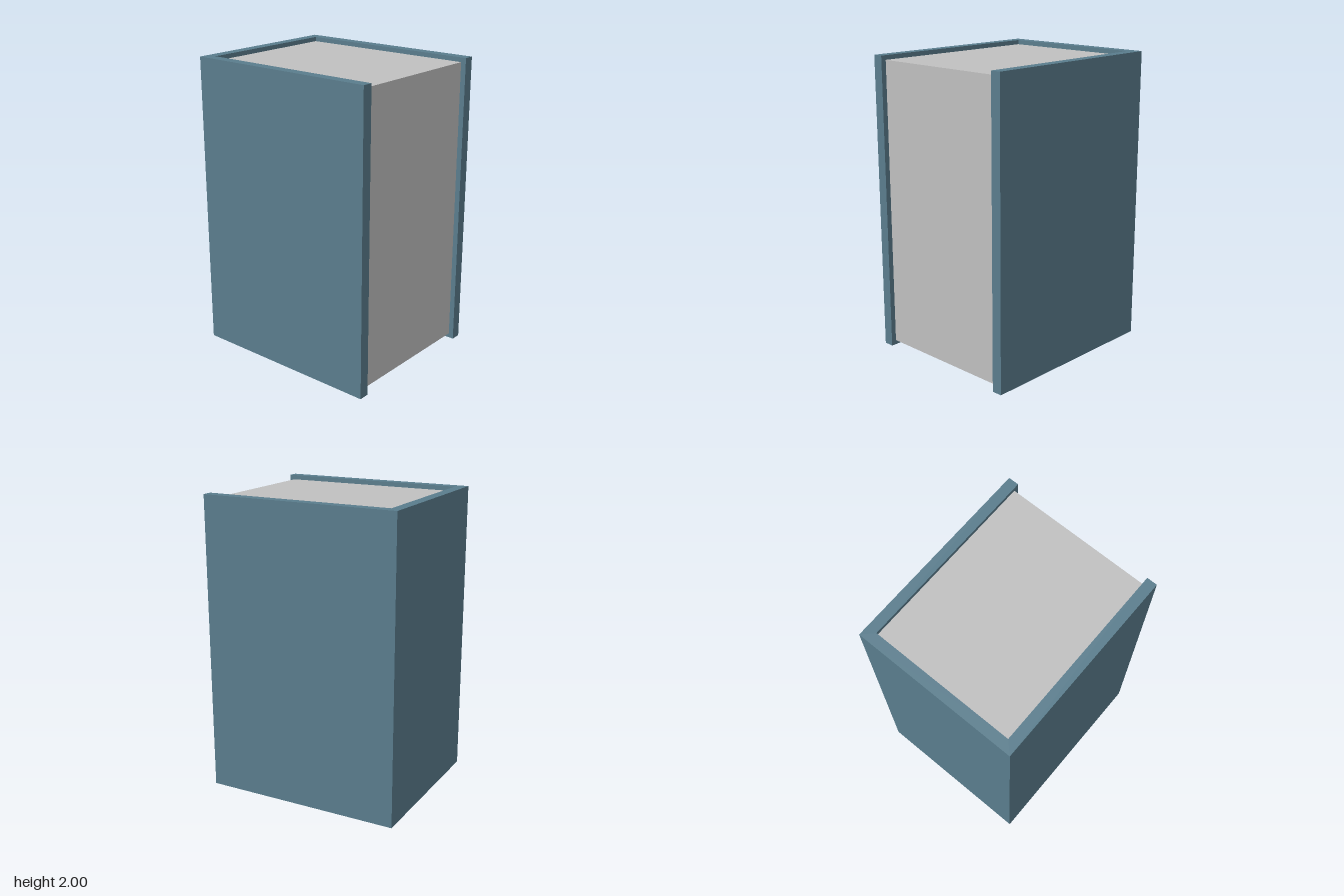
import * as THREE from 'three';

export function createModel() {
  const coverMat = new THREE.MeshStandardMaterial({ name: 'blue grey cover', color: 0x5a7d8d });
  const pageMat = new THREE.MeshStandardMaterial({ name: 'light grey pages', color: 0xc0c0c0 });

  const height = 2, halfW = 0.56, halfD = 0.67, wall = 0.07;
  const group = new THREE.Group();
  group.name = 'closedBook';

  // cover: U-shaped outline, open to the front, extruded upwards
  const inX = halfW - wall, inY = halfD - wall;
  const outline = new THREE.Shape([
    [-halfW, -halfD], [-inX, -halfD], [-inX, inY], [inX, inY],
    [inX, -halfD], [halfW, -halfD], [halfW, halfD], [-halfW, halfD],
  ].map(([x, y]) => new THREE.Vector2(x, y)));
  const coverGeo = new THREE.ExtrudeGeometry(outline, { depth: height, bevelEnabled: false });
  coverGeo.rotateX(-Math.PI / 2);
  const cover = new THREE.Mesh(coverGeo, coverMat);
  cover.name = 'cover';
  group.add(cover);

  // page block: fills the cover, slightly inset at top, bottom and front
  const inset = 0.03, front = 0.635, back = -inY;
  const pages = new THREE.Mesh(
    new THREE.BoxGeometry(inX * 2, height - inset * 2, front - back), pageMat);
  pages.name = 'pageBlock';
  pages.position.set(0, height / 2, (front + back) / 2);
  group.add(pages);

  return group;
}
